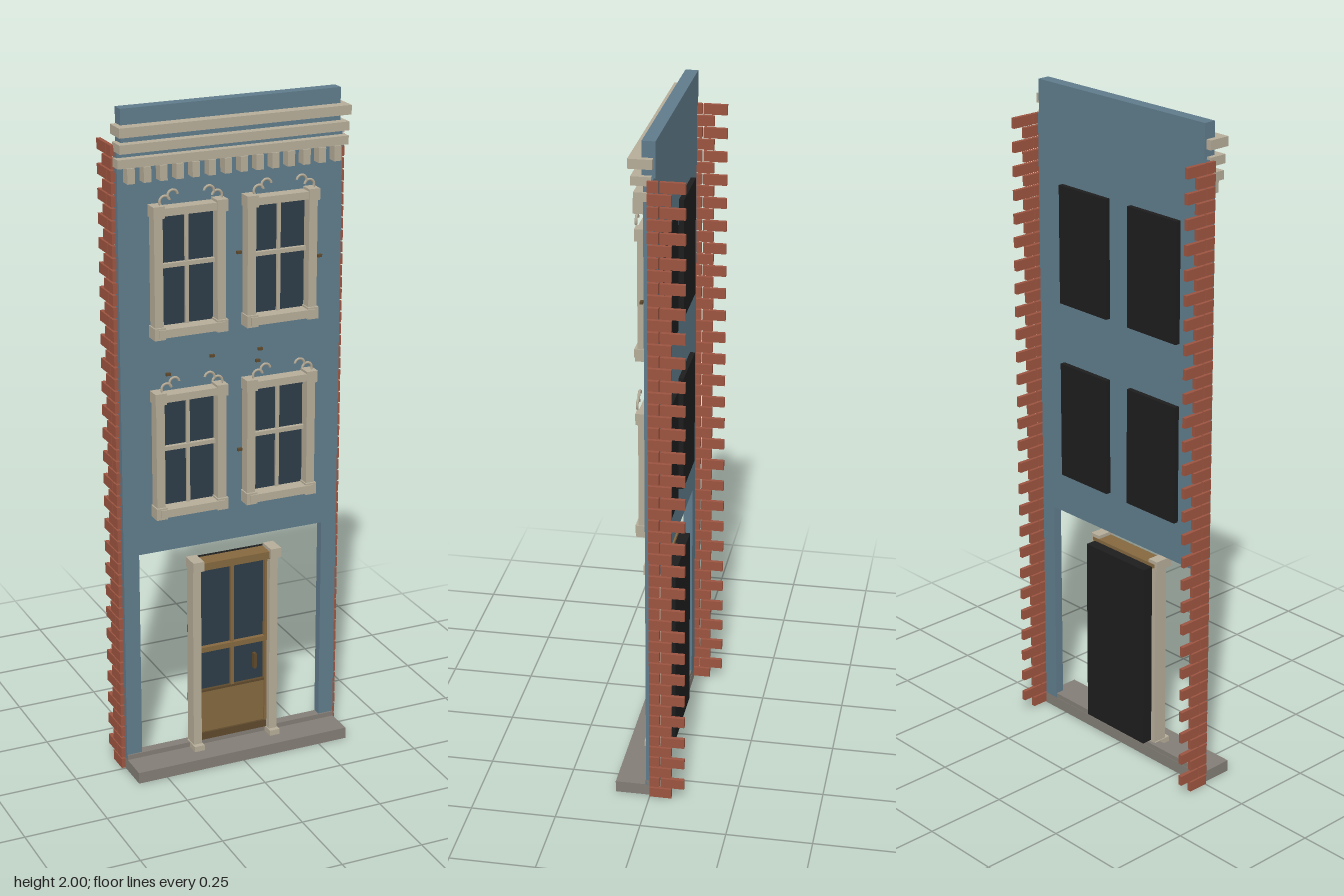
import * as THREE from 'three';

const mat = (name, color) => {
  const m = new THREE.MeshStandardMaterial({ color });
  m.name = name;
  return m;
};

export function createModel() {
  const blue = mat('blue paint', 0x5f7b8b);
  const trim = mat('cream trim', 0xb5ac98);
  const glass = mat('dark glass', 0x2d3c48);
  const wood = mat('door wood', 0x84683f);
  const darkWood = mat('dark wood', 0x5e4a2c);
  const brick = mat('brick red', 0x9c5440);
  const stone = mat('step stone', 0x827d75);
  const black = mat('backing black', 0x1d1d1d);

  const model = new THREE.Group();
  model.name = 'townhouseFacade';

  const group = (name, parent = model) => {
    const g = new THREE.Group();
    g.name = name;
    parent.add(g);
    return g;
  };
  // Box given by its limits on each axis
  const box = (name, material, x0, x1, y0, y1, z0, z1, parent = model) => {
    const m = new THREE.Mesh(new THREE.BoxGeometry(x1 - x0, y1 - y0, z1 - z0), material);
    m.position.set((x0 + x1) / 2, (y0 + y1) / 2, (z0 + z1) / 2);
    m.name = name;
    parent.add(m);
    return m;
  };

  // Wall with the open ground-floor bay
  const W = 0.341, bay = 0.293;
  const outline = new THREE.Shape([
    [-W, 0.035], [-bay, 0.035], [-bay, 0.69], [bay, 0.69], [bay, 0.035], [W, 0.035], [W, 1.9], [-W, 1.9],
  ].map(([x, y]) => new THREE.Vector2(x, y)));
  const wallGeometry = new THREE.ExtrudeGeometry(outline, { depth: 0.027, bevelEnabled: false });
  wallGeometry.translate(0, 0, -0.015);
  const wall = new THREE.Mesh(wallGeometry, blue);
  wall.name = 'wall';
  model.add(wall);
  box('parapet', blue, -0.331, 0.331, 1.9, 2, -0.02, 0.017);

  // Cornice: three mouldings above a row of dentils
  const cornice = group('cornice');
  box('topMoulding', trim, -0.348, 0.348, 1.928, 1.955, -0.014, 0.052, cornice);
  box('middleMoulding', trim, -0.345, 0.345, 1.882, 1.907, -0.01, 0.045, cornice);
  box('lowerMoulding', trim, -0.348, 0.348, 1.84, 1.865, 0, 0.037, cornice);
  for (let i = 0; i < 14; i++) {
    const x = -0.312 + i * 0.048;
    box('dentil', trim, x - 0.011, x + 0.011, 1.797, 1.84, 0.01, 0.043, cornice);
  }

  // Windows
  const addWindow = (cx, y0) => {
    const g = group('window');
    g.position.set(cx, y0, 0);
    box('glass', glass, -0.088, 0.088, 0.02, 0.36, 0.011, 0.015, g);
    box('backing', black, -0.098, 0.098, 0.012, 0.366, -0.03, -0.014, g);
    box('verticalBar', trim, -0.005, 0.005, 0.03, 0.355, 0.012, 0.023, g);
    box('horizontalBar', trim, -0.085, 0.085, 0.199, 0.211, 0.012, 0.028, g);
    for (const s of [-1, 1]) {
      const x = s * 0.095;
      box('sidePost', trim, x - 0.013, x + 0.013, 0.02, 0.375, 0.01, 0.047, g);
      box('cap', trim, x - 0.017, x + 0.017, 0.348, 0.382, 0.012, 0.054, g);
      box('foot', trim, x - 0.017, x + 0.017, 0, 0.035, 0.012, 0.054, g);
      // Pair of curls over each side of the lintel
      for (const t of [-1, 1]) {
        const curl = new THREE.Mesh(new THREE.TorusGeometry(0.015, 0.004, 6, 10, Math.PI * 1.1), trim);
        curl.position.set(s * 0.066 + t * 0.012, t === s ? 0.396 : 0.411, 0.052);
        curl.rotation.z = s > 0 ? -0.5 : 0.2;
        curl.name = 'curl';
        g.add(curl);
      }
    }
    box('lintel', trim, -0.1, 0.1, 0.353, 0.375, 0.01, 0.052, g);
    box('sill', trim, -0.1, 0.1, 0.006, 0.03, 0.01, 0.058, g);
  };
  for (const x of [-0.141, 0.141]) for (const y of [0.806, 1.346]) addWindow(x, y);

  // Small fixings scattered on the wall
  for (const [x, y] of [[-0.205, 1.236], [-0.07, 1.272], [0.072, 1.238], [0.08, 1.272],
    [0.013, 1.565], [0.264, 1.525], [0.016, 0.975]]) {
    box('fixing', darkWood, x - 0.007, x + 0.007, y - 0.004, y + 0.004, 0.028, 0.036);
  }

  // Door
  const door = group('door');
  box('backing', black, -0.123, 0.123, 0.055, 0.632, -0.037, -0.004, door);
  box('glass', glass, -0.108, 0.108, 0.2, 0.625, -0.004, 0.008, door);
  box('lowerPanel', wood, -0.105, 0.105, 0.075, 0.212, -0.004, 0.015, door);
  box('bottomRail', darkWood, -0.115, 0.115, 0.052, 0.075, -0.004, 0.022, door);
  box('panelRail', darkWood, -0.108, 0.108, 0.209, 0.216, 0, 0.018, door);
  box('middleRail', wood, -0.108, 0.108, 0.342, 0.358, 0, 0.022, door);
  box('centreBar', wood, -0.005, 0.005, 0.212, 0.625, 0, 0.018, door);
  box('lintel', wood, -0.132, 0.132, 0.619, 0.642, -0.004, 0.046, door);
  box('handle', darkWood, 0.05, 0.059, 0.278, 0.327, 0.05, 0.063, door);
  for (const s of [-1, 1]) {
    const x = s * 0.124;
    box('stile', wood, s * 0.11 - 0.006, s * 0.11 + 0.006, 0.055, 0.625, -0.004, 0.022, door);
    box('sidePost', trim, x - 0.013, x + 0.013, 0.04, 0.63, -0.004, 0.04, door);
    box('cap', trim, x - 0.017, x + 0.017, 0.622, 0.652, -0.002, 0.055, door);
    box('foot', trim, x - 0.016, x + 0.016, 0.035, 0.052, -0.002, 0.055, door);
  }

  // Front step
  box('step', stone, -0.341, 0.341, 0, 0.035, -0.015, 0.103);
  box('threshold', stone, -0.341, 0.341, 0.035, 0.05, -0.014, 0.016);

  // Toothed brick edges, alternating short and long courses
  const rows = 54, pitch = 1.9 / rows;
  for (const s of [-1, 1]) {
    const edge = group(s > 0 ? 'leftBrickEdge' : 'rightBrickEdge');
    const lay = (y, z0, z1) => box('brick', brick, s > 0 ? 0.342 : -0.354, s > 0 ? 0.354 : -0.342,
      y + 0.003, y + pitch - 0.002, z0, z1, edge);
    for (let i = 0; i < rows; i++) {
      if (i % 2) {
        lay(i * pitch, -0.03, 0);
        lay(i * pitch, -0.103, -0.034);
      } else {
        lay(i * pitch, -0.065, 0);
      }
    }
  }
  return model;
}
